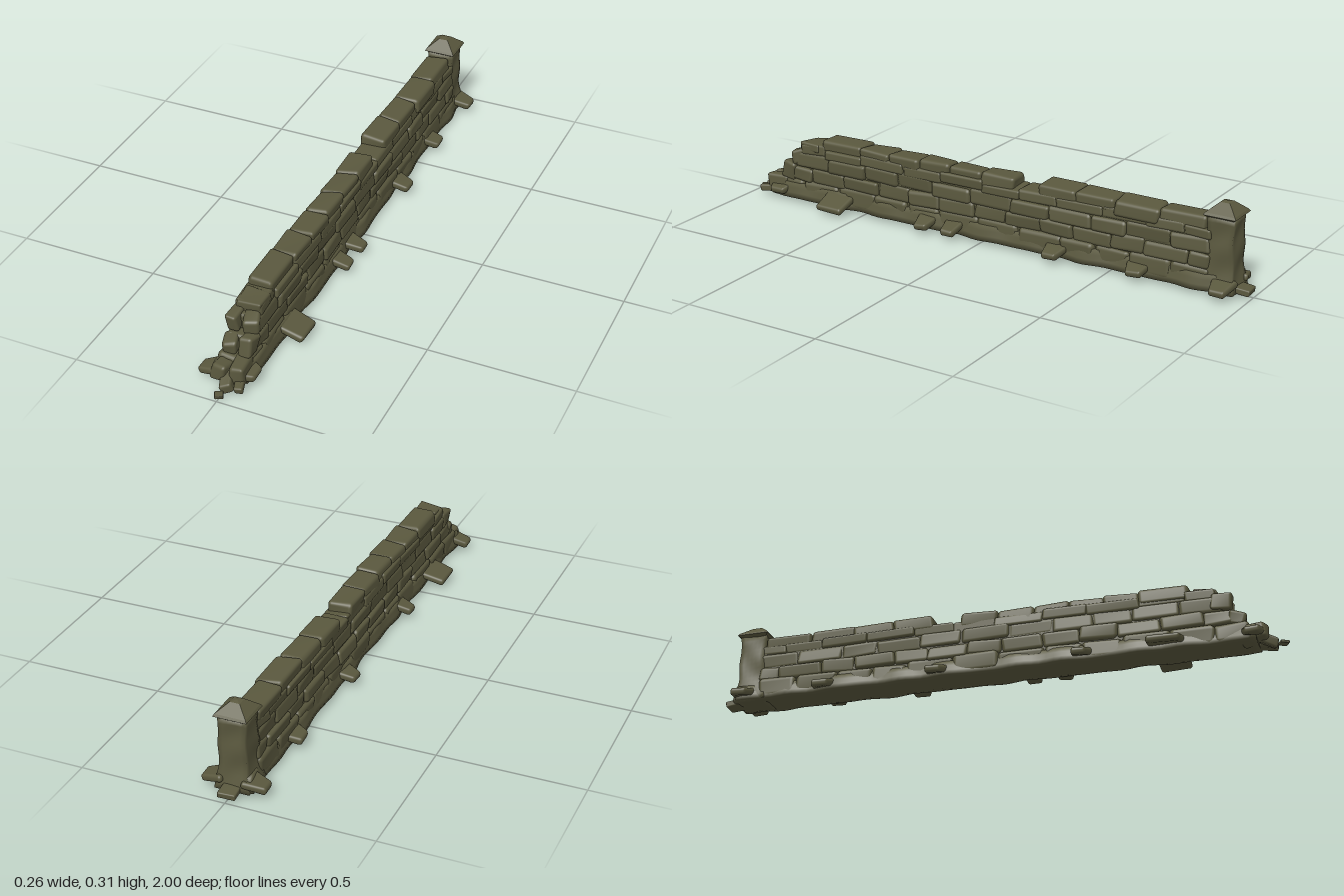
import * as THREE from 'three';
import { RoundedBoxGeometry } from 'three/addons/geometries/RoundedBoxGeometry.js';
import { mergeVertices } from 'three/addons/utils/BufferGeometryUtils.js';

const stoneMat = new THREE.MeshStandardMaterial({ color: 0x5a583e });
stoneMat.name = 'mossy stone';

// Small seeded random source
let seed = 17;
const rand = (a, b) => {
  seed = (seed * 16807) % 2147483647;
  return a + (b - a) * (seed / 2147483647);
};

// Moves the vertices by smooth waves, then smooths the normals
function weather(geo, amount, freq = 45) {
  geo.deleteAttribute('normal');
  geo.deleteAttribute('uv');
  const g = mergeVertices(geo, 1e-5);
  const p = g.attributes.position;
  const k = rand(0, 6);
  for (let i = 0; i < p.count; i++) {
    const x = p.getX(i), y = p.getY(i), z = p.getZ(i);
    p.setXYZ(i,
      x + amount * Math.sin(freq * (y + z) + k),
      y + amount * Math.sin(freq * (z - x) + 2 * k),
      z + amount * Math.sin(freq * (x + y) + 3 * k));
  }
  g.computeVertexNormals();
  return g;
}

function add(group, name, geo, x, y, z) {
  const m = new THREE.Mesh(geo, stoneMat);
  m.name = name;
  m.position.set(x, y, z);
  group.add(m);
  return m;
}

function stone(group, name, w, h, d, x, y, z, amount = 0.0035) {
  const r = Math.min(w, h, d) * 0.24;
  return add(group, name, weather(new RoundedBoxGeometry(w, h, d, 3, r), amount), x, y, z);
}

// Row of stones filling z0..z1 and y0..y1
function course(group, name, z0, z1, y0, y1, halfWidth, length, offset = 0) {
  let a = z0, first = true;
  while (a < z1 - 0.01) {
    let b = a + length * rand(0.85, 1.15) * (first && offset ? offset : 1);
    if (z1 - b < length * 0.4) b = z1;
    const w = 2 * halfWidth + rand(-0.005, 0.006);
    const top = y1 + rand(-0.004, 0.004);
    const m = stone(group, name, w, top - y0 + 0.004, b - a + 0.003,
      rand(-0.003, 0.003), (y0 + top) / 2, (a + b) / 2);
    m.rotation.z = rand(-0.03, 0.03);
    m.rotation.x = rand(-0.012, 0.012);
    a = b;
    first = false;
  }
}

function createModel() {
  const root = new THREE.Group();
  root.name = 'ruinedWall';

  const wall = new THREE.Group();
  wall.name = 'wall';
  root.add(wall);

  // Solid core behind the joints
  add(wall, 'core', new THREE.BoxGeometry(0.085, 0.195, 1.62), 0, 0.11, -0.07);

  // Flared, wavy footing
  const foot = new THREE.BoxGeometry(0.12, 0.055, 1.84, 4, 3, 70);
  const fp = foot.attributes.position;
  for (let i = 0; i < fp.count; i++) {
    const t = (fp.getY(i) + 0.0275) / 0.055, z = fp.getZ(i);
    const x = fp.getX(i);
    const wave = 0.06 * Math.sin(z * 31 + Math.sign(x)) + 0.05 * Math.sin(z * 17 + 2 * Math.sign(x));
    fp.setX(i, x * (1.06 - 0.2 * t + wave));
  }
  add(wall, 'footing', weather(foot, 0.001), 0, 0.0355, -0.02);

  // Courses, stepping back at the broken front end
  course(wall, 'firstCourse', -0.86, 0.88, 0.012, 0.08, 0.055, 0.15);
  course(wall, 'secondCourse', -0.86, 0.83, 0.078, 0.13, 0.053, 0.14, 0.5);
  course(wall, 'thirdCourse', -0.86, 0.795, 0.128, 0.182, 0.05, 0.15);
  course(wall, 'fourthCourse', -0.86, 0.77, 0.18, 0.213, 0.048, 0.16, 0.6);
  course(wall, 'copingFront', -0.12, 0.68, 0.19, 0.243, 0.044, 0.135);
  course(wall, 'copingBack', -0.84, -0.22, 0.195, 0.244, 0.044, 0.15);

  // Loose stones of the broken end: w, h, d, x, y, z, tilt
  [
    [0.05, 0.07, 0.09, 0.03, 0.045, 0.885, 0.1], [0.055, 0.06, 0.09, -0.025, 0.04, 0.89, -0.15],
    [0.04, 0.035, 0.08, 0.0, 0.026, 0.925, 0.3], [0.03, 0.025, 0.05, 0.045, 0.02, 0.93, 0.2],
    [0.045, 0.07, 0.06, 0.03, 0.105, 0.83, -0.1], [0.05, 0.05, 0.06, -0.025, 0.1, 0.835, 0.15],
    [0.055, 0.055, 0.07, 0.025, 0.165, 0.785, 0.2], [0.04, 0.06, 0.07, -0.034, 0.165, 0.79, 0.05],
    [0.085, 0.03, 0.08, 0.004, 0.208, 0.735, 0.05],
  ].forEach(([w, h, d, x, y, z, t]) => {
    stone(wall, 'brokenEndStone', w, h, d, x, y, z).rotation.set(t, t, t * 0.5);
  });

  // Corner post with a flared foot
  const post = new THREE.Group();
  post.name = 'post';
  post.position.z = -0.893;
  root.add(post);
  const shaft = new THREE.BoxGeometry(0.092, 0.25, 0.092, 6, 14, 6);
  const sp = shaft.attributes.position;
  for (let i = 0; i < sp.count; i++) {
    const t = (sp.getY(i) + 0.125) / 0.25;
    const s = 1 + 0.3 * Math.pow(1 - t, 5) + 0.03 * Math.sin(t * 14);
    sp.setX(i, sp.getX(i) * s);
    sp.setZ(i, sp.getZ(i) * s);
  }
  add(post, 'shaft', weather(shaft, 0.002), 0, 0.133, 0);

  // Pyramid cap with a blunt tip
  const profile = [[0, 0.248], [0.058, 0.252], [0.081, 0.264], [0.074, 0.272], [0.024, 0.303], [0, 0.307]];
  const cap = new THREE.LatheGeometry(profile.map(([r, y]) => new THREE.Vector2(r, y)), 4, Math.PI / 4)
    .toNonIndexed();
  cap.computeVertexNormals();
  add(post, 'cap', cap, 0, 0, 0);

  // Slabs leaning on the foot of the wall: side, z, reach, length
  [
    [-1, 0.6, 0.132, 0.12], [1, 0.6, 0.132, 0.11], [-1, 0.89, 0.108, 0.08], [1, 0.87, 0.08, 0.09],
    [-1, 0.31, 0.105, 0.075], [1, 0.22, 0.112, 0.075], [1, 0.11, 0.112, 0.075],
    [-1, -0.2, 0.105, 0.085], [1, -0.3, 0.112, 0.085], [-1, -0.615, 0.098, 0.09],
    [1, -0.61, 0.105, 0.085], [-1, -0.915, 0.112, 0.085], [1, -0.915, 0.112, 0.085],
  ].forEach(([side, z, reach, length]) => {
    const w = reach - 0.03;
    const geo = new RoundedBoxGeometry(w, 0.026, length, 4, 0.011);
    const p = geo.attributes.position;
    // Narrow the outer end so the slab looks worn
    for (let i = 0; i < p.count; i++) {
      const t = 0.5 + side * p.getX(i) / w;
      p.setZ(i, p.getZ(i) * (1.08 - (length > 0.1 ? 0.12 : 0.45) * t));
    }
    const m = add(root, 'fallenSlab', weather(geo, 0.002), side * (0.03 + w / 2), 0.033, z);
    m.rotation.z = -side * 0.3;
  });

  // Stone behind the post and a lone pebble in front
  stone(root, 'rearStone', 0.06, 0.022, 0.09, 0, 0.018, -0.95, 0.002).rotation.x = -0.12;
  stone(root, 'pebble', 0.028, 0.01, 0.03, 0, 0.006, 0.982, 0.001).rotation.y = 0.5;

  return root;
}

export { createModel };
